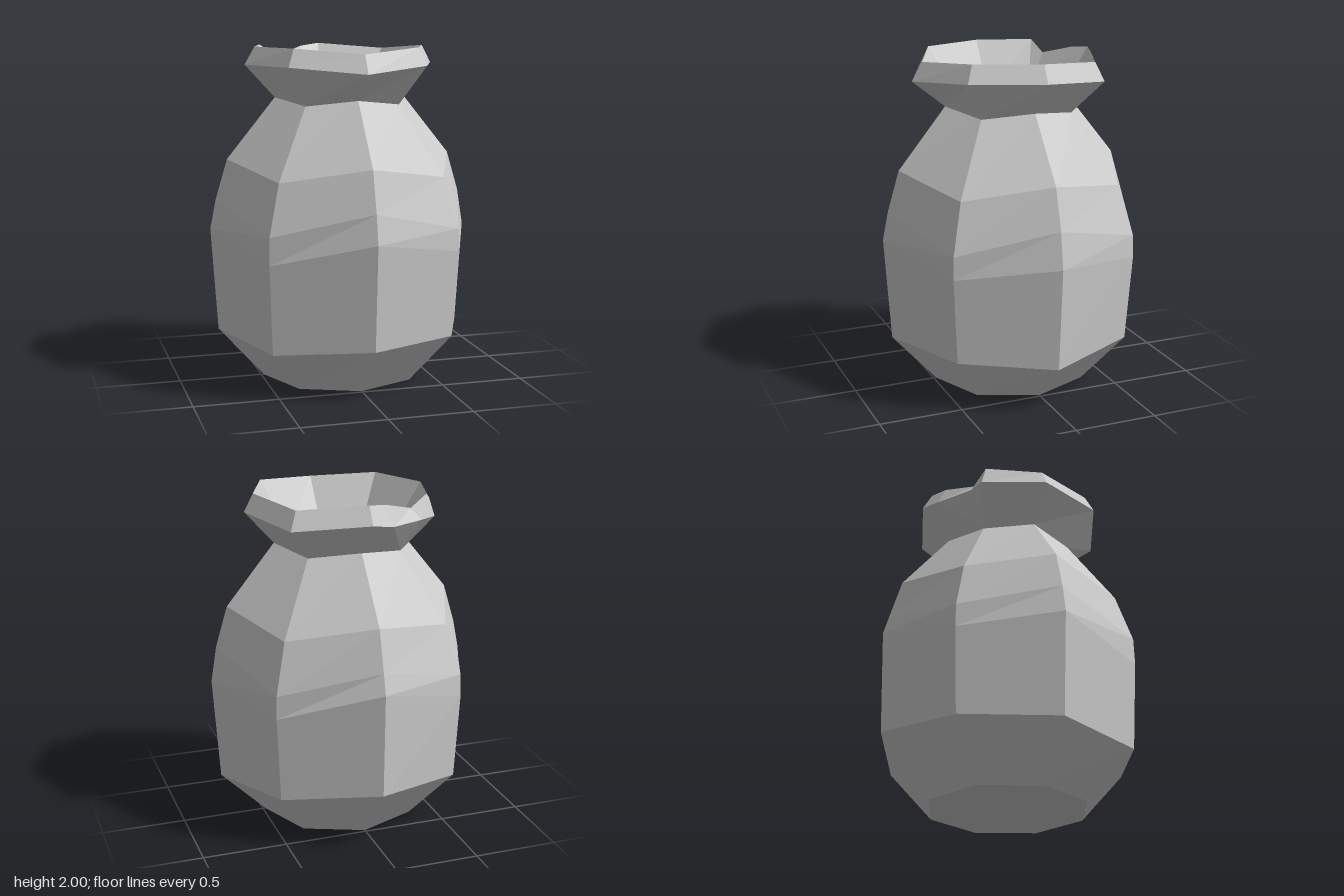
import * as THREE from 'three';

const SIDES = 8;
const CHIPPED = 5; // the corner whose rim is broken
const pick = (v, k) => (Array.isArray(v) ? v[k] : v);

// One eight-sided ring; r and y may vary per corner, starting at +x and turning towards +z.
// The chipped corner takes three points: merged on plain rings, separate on the rim.
function ring(r, y, chip) {
  const points = [];
  for (let k = 0; k < SIDES; k++) {
    const a = (k / SIDES) * Math.PI * 2;
    const p = new THREE.Vector3(pick(r, k) * Math.cos(a), pick(y, k), pick(r, k) * Math.sin(a));
    if (k !== CHIPPED) points.push(p);
    else if (chip) points.push(...chip.map((c) => new THREE.Vector3(...c)));
    else points.push(p, p, p);
  }
  return points;
}

// Skin consecutive rings with flat triangles, leaving out empty ones.
function loft(rings) {
  const pos = [];
  const tri = (a, b, c) => {
    if (new THREE.Triangle(a, b, c).getArea() > 1e-6) {
      pos.push(...a.toArray(), ...b.toArray(), ...c.toArray());
    }
  };
  for (let i = 0; i < rings.length - 1; i++) {
    const a = rings[i];
    const b = rings[i + 1];
    for (let j = 0; j < a.length; j++) {
      const n = (j + 1) % a.length;
      tri(a[j], b[j], a[n]);
      tri(a[n], b[j], b[n]);
    }
  }
  const geometry = new THREE.BufferGeometry();
  geometry.setAttribute('position', new THREE.Float32BufferAttribute(pos, 3));
  geometry.computeVertexNormals();
  return geometry;
}

const alternate = (cardinal, diagonal) =>
  Array.from({ length: SIDES }, (_, k) => (k % 2 ? diagonal : cardinal));

export function createModel() {
  const group = new THREE.Group();
  group.name = 'pot';
  const material = new THREE.MeshStandardMaterial({ color: 0xcccccc, flatShading: true });
  const add = (name, rings) => {
    const mesh = new THREE.Mesh(loft(rings), material);
    mesh.name = name;
    group.add(mesh);
  };

  const neck = ring(0.4, alternate(1.7, 1.665));
  const throat = ring(0.325, 1.69);

  // Closed base, bulging belly and shoulder up to the neck
  add('body', [
    ring(0, 0),
    ring(0.485, 0),
    ring([0.76, 0.76, 0.76, 0.77, 0.76, 0.77, 0.785, 0.76],
      [0.27, 0.31, 0.31, 0.275, 0.31, 0.31, 0.36, 0.31]),
    ring(0.8, [0.885, 0.825, 0.93, 0.8, 0.925, 0.82, 0.98, 0.825]),
    ring(alternate(0.765, 0.795), alternate(1.1, 0.96)),
    ring(0.693, alternate(1.34, 1.255)),
    neck,
  ]);

  // Flared rim with a chip, folding over into the funnel
  add('rim', [
    neck,
    ring([0.575, 0.58, 0.6, 0.58, 0.58, 0.58, 0.578, 0.6],
      [1.895, 1.895, 1.86, 1.895, 1.895, 1.895, 1.895, 1.86],
      [[-0.455, 1.875, -0.37], [-0.36, 1.865, -0.4], [-0.14, 1.87, -0.53]]),
    ring([0.52, 0.525, 0.535, 0.525, 0.52, 0.53, 0.52, 0.54],
      [2, 2, 1.97, 2, 2, 2, 2, 1.97],
      [[-0.42, 2, -0.33], [-0.31, 1.93, -0.36], [-0.12, 1.985, -0.475]]),
    throat,
  ]);

  // Well inside the neck, ending in a pointed floor
  add('inside', [throat, ring(0.325, 1.5), ring(0, 1.2)]);

  return group;
}
